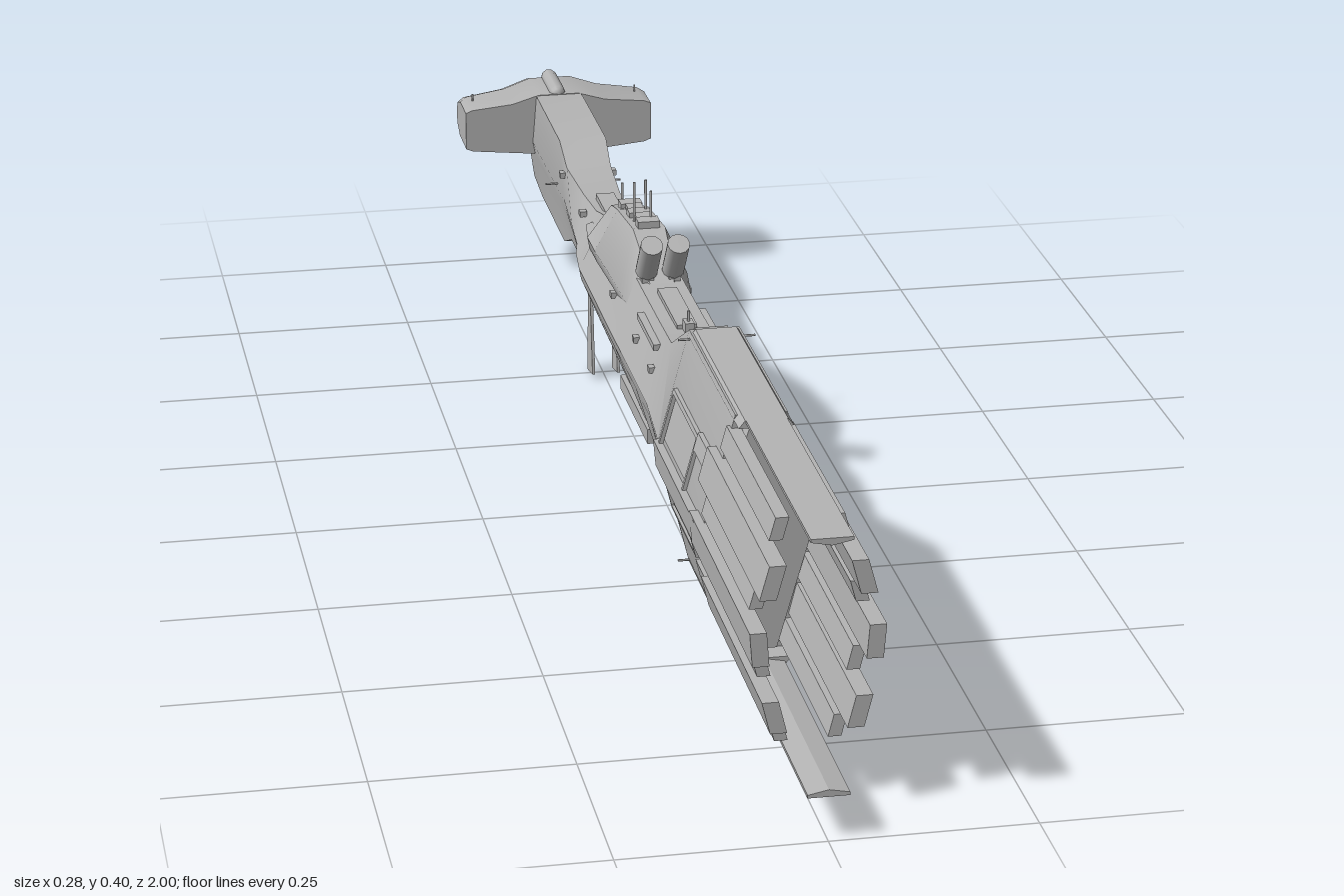
import * as THREE from 'three';
import { toCreasedNormals } from 'three/addons/utils/BufferGeometryUtils.js';

const hullGrey = new THREE.MeshStandardMaterial({ color: 0xb4b4b4 });
hullGrey.name = 'hull grey';

// Closed skin over rings of points, each counter-clockwise seen from the end of the loft
function loft(rings, crease = 0.5) {
  const n = rings[0].length, pos = rings.flat(2), idx = [];
  for (let i = 0; i < rings.length - 1; i++) {
    for (let j = 0; j < n; j++) {
      const k = (j + 1) % n, a = i * n + j, b = i * n + k;
      idx.push(a, b, b + n, a, b + n, a + n);
    }
  }
  const last = (rings.length - 1) * n;
  for (let j = 1; j < n - 1; j++) idx.push(0, j + 1, j, last, last + j, last + j + 1);
  const g = new THREE.BufferGeometry();
  g.setAttribute('position', new THREE.Float32BufferAttribute(pos, 3));
  g.setIndex(idx);
  return toCreasedNormals(g, crease);
}

// Eight-sided hull ring: sloping upper and lower sides with a narrow waist band
function hullRing([z, top, bottom, topW, waistW, bottomW, waist = 0.22]) {
  const half = [[bottomW, bottom], [waistW - 0.003, waist - 0.008], [waistW, waist + 0.008], [topW, top]];
  const left = [...half].reverse().map(([x, y]) => [-x, y]);
  return [...half, ...left].map(([x, y]) => [x, y, z]);
}

// Half width of the bow block at a height
function bowX(y) {
  if (y > 0.228) return 0.072 - (0.04 * (y - 0.228)) / 0.147;
  if (y < 0.212) return 0.07 - (0.038 * (0.212 - y)) / 0.152;
  return 0.072;
}

export function createModel() {
  const model = new THREE.Group();
  const add = (name, geo, x = 0, y = 0, z = 0) => {
    const m = new THREE.Mesh(geo, hullGrey);
    m.name = name;
    m.position.set(x, y, z);
    model.add(m);
    return m;
  };
  const box = (name, w, h, d, x, y, z) => add(name, new THREE.BoxGeometry(w, h, d), x, y, z);
  const rod = (name, r, a, b, sides = 6, r2 = r) => {
    const p = new THREE.Vector3(...a), q = new THREE.Vector3(...b);
    const m = add(name, new THREE.CylinderGeometry(r2, r, p.distanceTo(q), sides));
    m.position.copy(p).add(q).multiplyScalar(0.5);
    m.quaternion.setFromUnitVectors(new THREE.Vector3(0, 1, 0), q.sub(p).normalize());
    return m;
  };
  const prism = (name, points, z0, z1) => add(name, new THREE.ExtrudeGeometry(
    new THREE.Shape(points.map(([x, y]) => new THREE.Vector2(x, y))),
    { depth: z1 - z0, bevelEnabled: false }), 0, 0, z0);
  // Matching plates on both flanks, following the slope of the bow
  const flank = (name, y0, y1, z0, z1, out, inn = 0.004) => {
    for (const s of [-1, 1]) {
      const a = bowX(y0), b = bowX(y1);
      prism(name, [[s * (a - inn), y0], [s * (a + out), y0], [s * (b + out), y1], [s * (b - inn), y1]], z0, z1);
    }
  };

  // Main hull from stern to bow
  add('hull', loft([
    [-0.985, 0.285, 0.165, 0.025, 0.034, 0.022],
    [-0.95, 0.295, 0.148, 0.030, 0.038, 0.026],
    [-0.86, 0.300, 0.145, 0.034, 0.040, 0.028],
    [-0.66, 0.300, 0.145, 0.034, 0.038, 0.028],
    [-0.61, 0.275, 0.165, 0.032, 0.037, 0.026],
    [-0.50, 0.272, 0.166, 0.026, 0.044, 0.026],
    [-0.42, 0.275, 0.164, 0.022, 0.050, 0.026],
    [-0.38, 0.285, 0.142, 0.022, 0.058, 0.028],
    [-0.32, 0.302, 0.138, 0.026, 0.064, 0.030],
    [-0.06, 0.305, 0.137, 0.030, 0.064, 0.032],
    [0.10, 0.306, 0.128, 0.030, 0.063, 0.032],
    [0.19, 0.308, 0.103, 0.030, 0.063, 0.032],
    [0.32, 0.375, 0.060, 0.032, 0.072, 0.032],
    [0.61, 0.375, 0.060, 0.032, 0.072, 0.032],
  ].map(hullRing)));
  add('bowFace', loft([
    [0.60, 0.368, 0.067, 0.024, 0.064, 0.024],
    [0.625, 0.362, 0.073, 0.018, 0.060, 0.018],
  ].map(hullRing), 0.1));

  // Raised bridge block
  add('bridge', loft([
    [-0.40, 0.272, 0.24, 0.014, 0.040, 0.03, 0.255],
    [-0.32, 0.318, 0.24, 0.018, 0.052, 0.03, 0.265],
    [-0.25, 0.336, 0.24, 0.022, 0.054, 0.03, 0.27],
    [-0.13, 0.350, 0.24, 0.022, 0.052, 0.03, 0.275],
    [-0.09, 0.335, 0.24, 0.020, 0.048, 0.03, 0.27],
    [-0.03, 0.303, 0.24, 0.016, 0.042, 0.03, 0.26],
  ].map(hullRing), 0.7));
  for (let i = 0; i < 5; i++) {
    box('bridgeBlock', 0.03 - (i % 2) * 0.008, 0.014, 0.022, 0, 0.352 - i * 0.005, -0.14 - i * 0.033);
  }
  [[0.006, -0.15, 0.395], [-0.012, -0.175, 0.4], [0.01, -0.21, 0.39], [-0.008, -0.29, 0.36]].forEach(
    ([x, z, y]) => rod('mast', 0.002, [x, 0.33, z], [x, y, z]));

  // Twin angled launch tubes
  for (const s of [-1, 1]) {
    rod('launchTube', 0.015, [s * 0.018, 0.318, -0.052], [s * 0.018, 0.368, -0.012], 12);
    box('tubeMount', 0.016, 0.025, 0.03, s * 0.018, 0.31, -0.055);
  }

  // Stern cross wing with rounded rear edge
  add('sternWing', loft([
    [-0.14, 0.222, 0.278, -0.972], [-0.13, 0.218, 0.282, -0.982], [-0.07, 0.212, 0.288, -0.993],
    [-0.03, 0.208, 0.300, -1], [0.03, 0.208, 0.300, -1], [0.07, 0.212, 0.288, -0.993],
    [0.13, 0.218, 0.282, -0.982], [0.14, 0.222, 0.278, -0.972],
  ].map(([x, b, t, r]) => [[x, b, -0.875], [x, b, r + 0.03], [x, b + 0.012, r + 0.006],
    [x, b + 0.028, r], [x, t - 0.028, r], [x, t - 0.01, r + 0.01], [x, t, r + 0.04], [x, t, -0.875]])));
  const pod = add('sternPod', new THREE.CapsuleGeometry(0.012, 0.075, 4, 10), 0, 0.299, -0.925);
  pod.rotation.x = Math.PI / 2;
  for (const s of [-1, 1]) {
    rod('wingAntenna', 0.0015, [s * 0.123, 0.205, -0.92], [s * 0.123, 0.293, -0.92]);
    box('wingTrim', 0.07, 0.004, 0.005, s * 0.075, 0.25, -0.992).rotation.y = s * -0.17;
  }

  // Top and bottom bow blades
  prism('topBlade', [[-0.026, 0.379], [-0.034, 0.369], [0.034, 0.369], [0.026, 0.379]], 0.33, 0.64);
  prism('bottomBlade', [[-0.026, 0.057], [0.026, 0.057], [0.034, 0.067], [-0.034, 0.067]], 0.33, 0.64);
  for (const [y, f] of [[0.379, -1], [0.057, 1]]) {
    prism('bladeTip', [[-0.025, y], [0.025, y], [0.025, y + f * 0.004],
      [0, y + f * 0.009], [-0.025, y + f * 0.004]], 0.62, 1);
    for (const s of [-1, 1]) rod('bowSpike', 0.0015, [s * 0.025, y + f * 0.011, 0.335], [s * 0.049, y + f * 0.011, 0.335]);
  }

  // Bow bars: three long and four short on each flank
  [[0.278, 0.32], [0.196, 0.238], [0.11, 0.15]].forEach(([a, b]) => flank('longBar', a, b, 0.57, 0.935, 0.011, 0.009));
  [[0.33, 0.358], [0.246, 0.272], [0.16, 0.19], [0.076, 0.104]].forEach(([a, b]) => flank('shortBar', a, b, 0.6, 0.885, 0.004, 0.012));
  [[0.288, 0.31], [0.12, 0.142]].forEach(([a, b]) => flank('barRoot', a, b, 0.5, 0.6, 0.006));
  flank('waistArmour', 0.199, 0.235, 0.33, 0.6, 0.01);

  // Framed hatch on each flank
  for (const [a, b] of [[0.235, 0.305], [0.145, 0.205]]) {
    flank('hatchPanel', a + 0.008, b - 0.008, 0.352, 0.488, 0.002);
    flank('hatchSide', a, b, 0.34, 0.346, 0.005);
    flank('hatchSide', a, b, 0.494, 0.5, 0.005);
  }
  flank('hatchEdge', 0.3, 0.306, 0.34, 0.5, 0.005);
  flank('hatchEdge', 0.144, 0.15, 0.34, 0.5, 0.005);

  // Deck plates along the spine
  box('slopePanel', 0.042, 0.008, 0.115, 0, 0.34, 0.252).rotation.x = -0.475;
  box('deckPlate', 0.026, 0.008, 0.14, 0, 0.308, 0.07);
  box('spinePlate', 0.026, 0.01, 0.11, 0, 0.276, -0.42);
  box('sensorBase', 0.012, 0.018, 0.02, 0, 0.312, 0.15);
  rod('sensorMast', 0.002, [0, 0.31, 0.15], [0, 0.335, 0.15]);

  for (const s of [-1, 1]) {
    // Lower side strakes, upper rails and small fittings
    box('lowerStrake', 0.014, 0.02, 0.2, s * 0.039, 0.145, 0.005);
    box('upperRail', 0.01, 0.008, 0.12, s * 0.041, 0.287, 0.09);
    for (const z of [-0.62, -0.45, -0.12, 0.05, 0.16]) {
      const x = z < -0.4 ? 0.036 : 0.05;
      box('fitting', 0.01, 0.008, 0.012, s * x, 0.262, z);
    }
    rod('sideAntenna', 0.0015, [s * 0.03, 0.235, -0.66], [s * 0.055, 0.235, -0.66]);

    // Hanging paddle fins, wider at the foot
    const fin = new THREE.Shape([[-0.494, 0.17], [-0.502, 0.17], [-0.515, 0], [-0.472, 0.008]]
      .map(([z, y]) => new THREE.Vector2(-z, y)));
    const paddle = add('paddleFin', new THREE.ExtrudeGeometry(fin, { depth: 0.004, bevelEnabled: false }), s * 0.018 - 0.002);
    paddle.rotation.y = Math.PI / 2;

    // Small raked antennas under the keel
    rod('keelAntenna', 0.002, [s * 0.012, 0.155, -0.355], [s * 0.012, 0.11, -0.385]);
    rod('keelAntenna', 0.003, [s * 0.02, 0.16, -0.375], [s * 0.02, 0.125, -0.395]);
  }
  return model;
}
